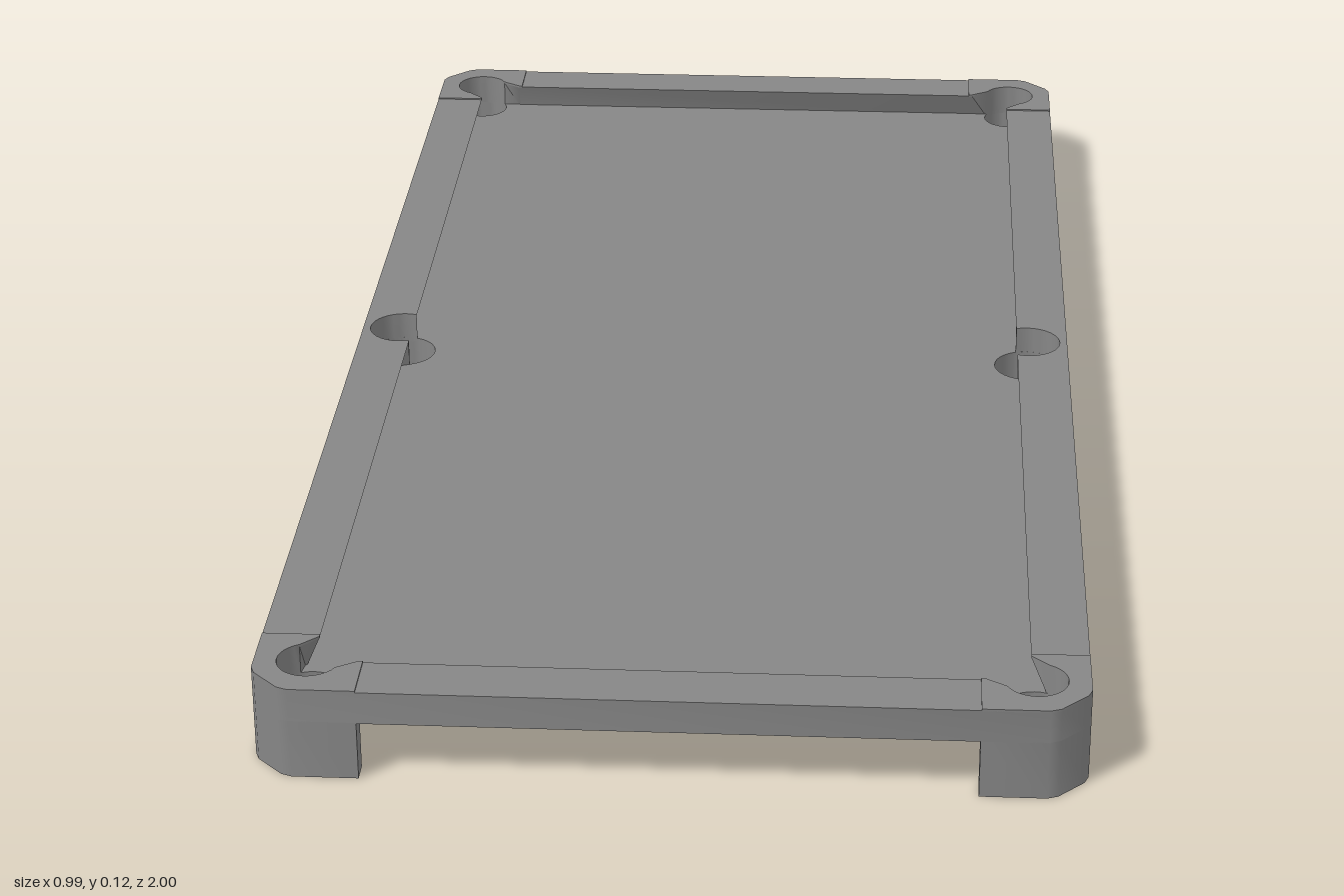
import * as THREE from 'three';
import { toCreasedNormals } from 'three/addons/utils/BufferGeometryUtils.js';

const mat = new THREE.MeshStandardMaterial({ color: 0x868686 });
const CORNER = { x: 0.43, z: 0.93, r: 0.038 };
const SIDE = { x: 0.44, z: 0, r: 0.045 };
const NOSE_X = 0.425, NOSE_Z = 0.93; // inner edges of the rails
const UNDERCUT = 0.018; // how far the cushion face leans back towards the bed

function add(group, name, geo) {
  const mesh = new THREE.Mesh(toCreasedNormals(geo, 0.6), mat);
  mesh.name = name;
  group.add(mesh);
  return mesh;
}

// Points on a pocket's rim, angles in degrees
function arc(p, from, to, n = 20) {
  return Array.from({ length: n + 1 }, (_, i) => {
    const a = THREE.MathUtils.degToRad(from + (to - from) * i / n);
    return [p.x + p.r * Math.cos(a), p.z + p.r * Math.sin(a)];
  });
}

const mirror = (pts, sx, sz) => pts.map(([x, z]) => [x * sx, z * sz]);
const toShape = pts => new THREE.Shape(pts.map(([x, z]) => new THREE.Vector2(x, z)));

// Repeats a quarter outline (running from the x axis to the z axis) all round
function fourWay(q) {
  return [...q, ...mirror(q, -1, 1).reverse(), ...mirror(q, -1, -1), ...mirror(q, 1, -1).reverse()];
}

// Horizontal slab with its outline in x and z
function slab(shape, y0, y1) {
  const g = new THREE.ExtrudeGeometry(shape, { depth: y1 - y0, bevelEnabled: false });
  return g.rotateX(Math.PI / 2).translate(0, y1, 0);
}

// Sloping lip under a rail: bottom edge drops from the outer face inwards
function lip(outer, from, to) {
  const section = toShape([[outer, 0.076], [outer - 0.015, 0.076], [outer - 0.055, 0.076],
    [outer - 0.055, 0.065], [outer - 0.035, 0.065], [outer, 0.075]]);
  return new THREE.ExtrudeGeometry(section, { depth: to - from, bevelEnabled: false }).translate(0, 0, from);
}

// Closed-bottom pocket cup
function cup(p, bottom, wall) {
  const R = p.r + wall, top = 0.076;
  const pts = [[0, bottom], [R, bottom], [R, top], [p.r, top], [p.r, bottom + 0.01], [0, bottom + 0.01]];
  return new THREE.LatheGeometry(pts.map(a => new THREE.Vector2(...a)), 32);
}

export function createModel() {
  const table = new THREE.Group();
  table.name = 'poolTable';

  // Softly chamfered outer corner, shared by frame, caps and legs
  const chamfer = [[0.495, 0.95], [0.49, 0.963], [0.458, 0.995], [0.445, 1]];

  // Rail frame with pocket mouths cut into its inner edge
  const cornerMouth = [[NOSE_X, 0.875], ...arc(CORNER, -65, 155), [0.37, NOSE_Z]];
  const frame = toShape(fourWay(chamfer));
  frame.holes.push(toShape(fourWay([...arc(SIDE, 0, 109, 10), [NOSE_X, 0.05], ...cornerMouth])));
  const rails = slab(frame, 0.075, 0.117);

  // Lean the cushion faces back below their noses
  const pos = rails.attributes.position;
  for (let i = 0; i < pos.count; i++) {
    if (pos.getY(i) > 0.1) continue;
    const x = pos.getX(i), z = pos.getZ(i);
    const onLong = Math.abs(Math.abs(x) - NOSE_X) < 1e-4 && Math.abs(z) < 0.88;
    const onShort = Math.abs(Math.abs(z) - NOSE_Z) < 1e-4 && Math.abs(x) < 0.38;
    if (onLong) pos.setX(i, x + Math.sign(x) * UNDERCUT);
    if (onShort) pos.setZ(i, z + Math.sign(z) * UNDERCUT);
  }
  add(table, 'railFrame', rails);

  // Playing bed, pierced at the six pockets
  const bed = toShape(fourWay([[0.488, 0.95], [0.445, 0.99]]));
  for (const sx of [1, -1]) {
    for (const p of [CORNER, SIDE, { ...CORNER, z: -CORNER.z }]) {
      bed.holes.push(toShape(arc({ ...p, x: p.x * sx }, 0, 360, 32).slice(0, -1)));
    }
  }
  add(table, 'playingBed', slab(bed, 0.074, 0.08));

  for (const sx of [1, -1]) {
    const side = sx > 0 ? 'left' : 'right';
    add(table, side + 'MiddlePocket', cup(SIDE, 0, 0.005)).position.set(sx * SIDE.x, 0, 0);

    for (const sz of [1, -1]) {
      const end = side + (sz > 0 ? 'Front' : 'Back');
      // Flat wing beside the middle pocket
      add(table, end + 'PocketWing', new THREE.BoxGeometry(0.016, 0.075, 0.012)
        .translate(sx * 0.44, 0.0375, sz * 0.052));

      // Slightly raised corner cap
      const cap = [[0.365, 1], ...chamfer.slice().reverse(), [0.495, 0.87], [NOSE_X, 0.87],
        ...cornerMouth, [0.365, NOSE_Z]];
      add(table, end + 'CornerCap', slab(toShape(mirror(cap, sx, sz)), 0.116, 0.119));

      // L-shaped leg with a chamfered outer corner
      const leg = [[0.365, 1], ...chamfer.slice().reverse(), [0.495, 0.87], [0.468, 0.87],
        [0.468, 0.95], [0.445, 0.973], [0.365, 0.973]];
      add(table, end + 'Leg', slab(toShape(mirror(leg, sx, sz)), 0, 0.076));

      add(table, end + 'Pocket', cup(CORNER, 0.01, 0.004)).position.set(sx * CORNER.x, 0, sz * CORNER.z);

      // Lip under the long rail, between the pockets
      add(table, end + 'LongLip', lip(0.495, 0.05, 0.872).rotateY(sx > 0 ? 0 : Math.PI)
        .translate(0, 0, sx === sz ? 0 : -sx * 0.922));
    }
  }

  // Lips under the short rails
  for (const sz of [1, -1]) {
    add(table, sz > 0 ? 'frontLip' : 'backLip', lip(1, -0.366, 0.366).rotateY(-sz * Math.PI / 2));
  }
  return table;
}
